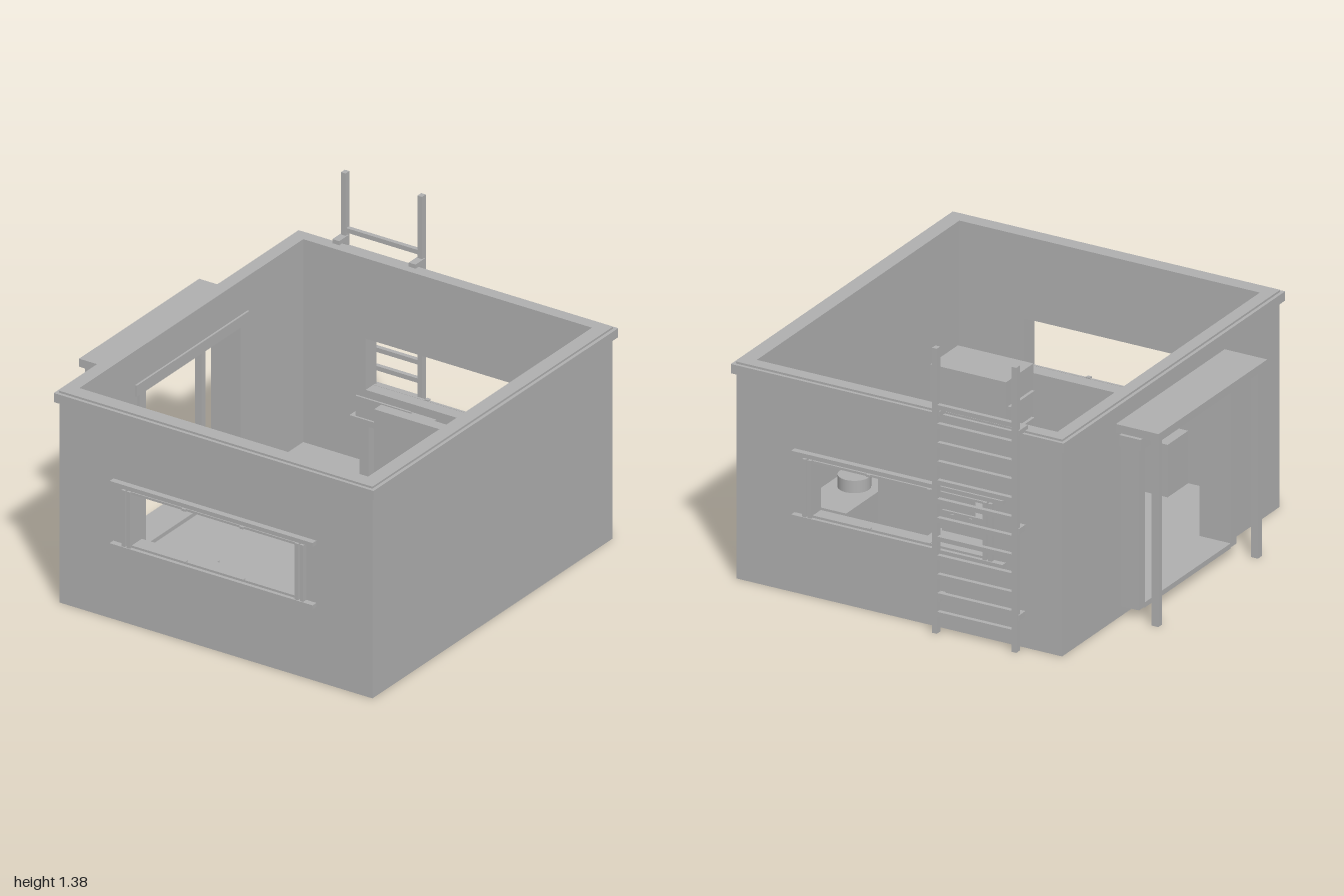
import * as THREE from 'three';

export function createModel() {
  const model = new THREE.Group();
  const grey = new THREE.MeshStandardMaterial({ color: 0xb0b0b0 });
  grey.name = 'concrete grey';

  const add = (name, geometry, parent = model) => {
    const mesh = new THREE.Mesh(geometry, grey);
    mesh.name = name;
    parent.add(mesh);
    return mesh;
  };
  const group = (name) => {
    const g = new THREE.Group();
    g.name = name;
    model.add(g);
    return g;
  };
  // Box given by its limits on each axis
  const box = (name, x0, x1, y0, y1, z0, z1, parent) => {
    const mesh = add(name, new THREE.BoxGeometry(x1 - x0, y1 - y0, z1 - z0), parent);
    mesh.position.set((x0 + x1) / 2, (y0 + y1) / 2, (z0 + z1) / 2);
    return mesh;
  };
  // Rectangular plate with a rectangular hole
  const rect = (P, a0, a1, b0, b1) => new P([[a0, b0], [a1, b0], [a1, b1], [a0, b1]].map(([a, b]) => new THREE.Vector2(a, b)));
  const plate = (outer, hole, depth) => {
    const shape = rect(THREE.Shape, ...outer);
    shape.holes.push(rect(THREE.Path, ...hole));
    return new THREE.ExtrudeGeometry(shape, { depth, bevelEnabled: false });
  };

  // Floor slab and walls
  const X0 = -0.74, X1 = 0.94, Z0 = -0.93, Z1 = 0.97, H = 1.0;
  const IX0 = -0.68, IX1 = 0.87, IZ0 = -0.87, IZ1 = 0.9;
  box('floor', IX0, IX1, 0, 0.045, IZ0, IZ1);
  const windowHole = [-0.345, 0.54, 0.4, 0.655];
  add('frontWall', plate([X0, X1, 0, H], windowHole, Z1 - IZ1)).position.z = IZ1;
  add('backWall', plate([X0, X1, 0, H], windowHole, IZ0 - Z0)).position.z = Z0;
  box('leftWall', IX1, X1, 0, H, IZ0, IZ1);
  const doorWall = add('doorWall', plate([IZ0, IZ1, 0, H], [-0.38, 0.41, 0.045, 0.83], IX0 - X0));
  doorWall.rotation.y = -Math.PI / 2;
  doorWall.position.x = IX0;

  // Coping around the open top
  const ring = (name, grow, top, depth) => {
    const outer = [X0 - grow, X1 + grow, Z0 - grow, Z1 + grow];
    const mesh = add(name, plate(outer, [IX0, IX1, IZ0, IZ1], depth));
    mesh.rotation.x = Math.PI / 2;
    mesh.position.y = top;
  };
  ring('copingBand', 0.018, 1.045, 0.045);
  ring('copingCap', 0.002, 1.055, 0.01);

  // Window surrounds on the front and back
  for (const [name, wall, s] of [['frontWindow', Z1, 1], ['backWindow', Z0, -1]]) {
    const g = group(name);
    const strip = (part, x0, x1, y0, y1, d) =>
      box(part, x0, x1, y0, y1, Math.min(wall, wall + s * d), Math.max(wall, wall + s * d), g);
    strip('sill', -0.45, 0.64, 0.37, 0.39, 0.03);
    strip('head', -0.45, 0.64, 0.68, 0.7, 0.03);
    for (const x of [-0.39, -0.362, 0.54, 0.568]) strip('post', x, x + 0.018, 0.39, 0.67, 0.025);
    for (const y of [0.39, 0.655]) strip('rail', -0.344, 0.54, y, y + 0.011, 0.012);
    for (const x of [-0.06, 0.25])
      for (const y of [0.395, 0.655]) strip('catch', x - 0.01, x + 0.01, y, y + 0.011, 0.02);
  }

  // Door frame
  const door = group('doorFrame');
  box('jamb', -0.83, -0.67, 0.045, 0.83, -0.41, -0.36, door);
  box('jamb', -0.83, -0.67, 0.045, 0.83, 0.39, 0.44, door);
  box('threshold', -0.83, -0.67, 0.04, 0.065, -0.36, 0.39, door);
  box('lintel', -0.85, -0.67, 0.83, 0.885, -0.43, 0.46, door);

  // Canopy over the door
  const canopy = group('canopy');
  box('canopyRoof', -0.96, X0, 0.91, 0.95, -0.46, 0.49, canopy);
  for (const z of [-0.42, 0.45]) box('canopyPost', -0.945, -0.91, 0, 0.91, z - 0.017, z + 0.017, canopy);

  // Ladder on the back wall
  const ladder = group('ladder');
  for (const x of [-0.545, -0.135]) {
    box('rail', x, x + 0.025, 0, 1.385, -1, -0.97, ladder);
    box('topBracket', x - 0.006, x + 0.031, 1.05, 1.075, -0.985, -0.91, ladder);
    box('lowerBracket', x - 0.006, x + 0.031, 0.15, 0.178, -0.985, Z0, ladder);
  }
  box('middleBracket', -0.551, -0.514, 0.57, 0.598, -0.985, Z0, ladder);
  for (let i = 0; i < 12; i++) {
    const y = 0.095 + i * 0.0914;
    box('rung', -0.53, -0.12, y - 0.011, y + 0.011, -0.997, -0.975, ladder);
  }

  // Cabinet with drawer pulls
  const cabinet = group('cabinet');
  box('cabinetBody', 0.37, 0.76, 0.045, 0.55, 0.46, 0.7, cabinet);
  for (const y of [0.16, 0.29, 0.42]) box('drawerPull', 0.355, 0.37, y - 0.007, y + 0.007, 0.475, 0.685, cabinet);

  // Low crate against the front wall
  box('crate', -0.31, -0.05, 0.045, 0.3, 0.72, IZ1);

  // Stove block with a round lid, and a partition beside it
  box('block', 0.48, 0.72, 0.045, 0.35, -0.75, -0.2);
  add('roundLid', new THREE.CylinderGeometry(0.075, 0.075, 0.06, 32)).position.set(0.6, 0.38, -0.475);
  box('partition', 0.01, 0.48, 0.045, 0.595, -0.47, -0.415);

  // Small desk under the back window
  const desk = group('desk');
  box('deskTop', -0.31, 0.035, 0.33, 0.36, IZ0, -0.69, desk);
  for (const x of [-0.27, -0.05]) box('deskLeg', x, x + 0.05, 0.045, 0.33, -0.85, -0.71, desk);
  box('deskScreen', -0.285, 0.01, 0.36, 0.46, -0.71, -0.7, desk);
  for (const x of [-0.23, -0.14, -0.045]) box('screenClip', x - 0.008, x + 0.008, 0.37, 0.45, -0.716, -0.71, desk);

  return model;
}
